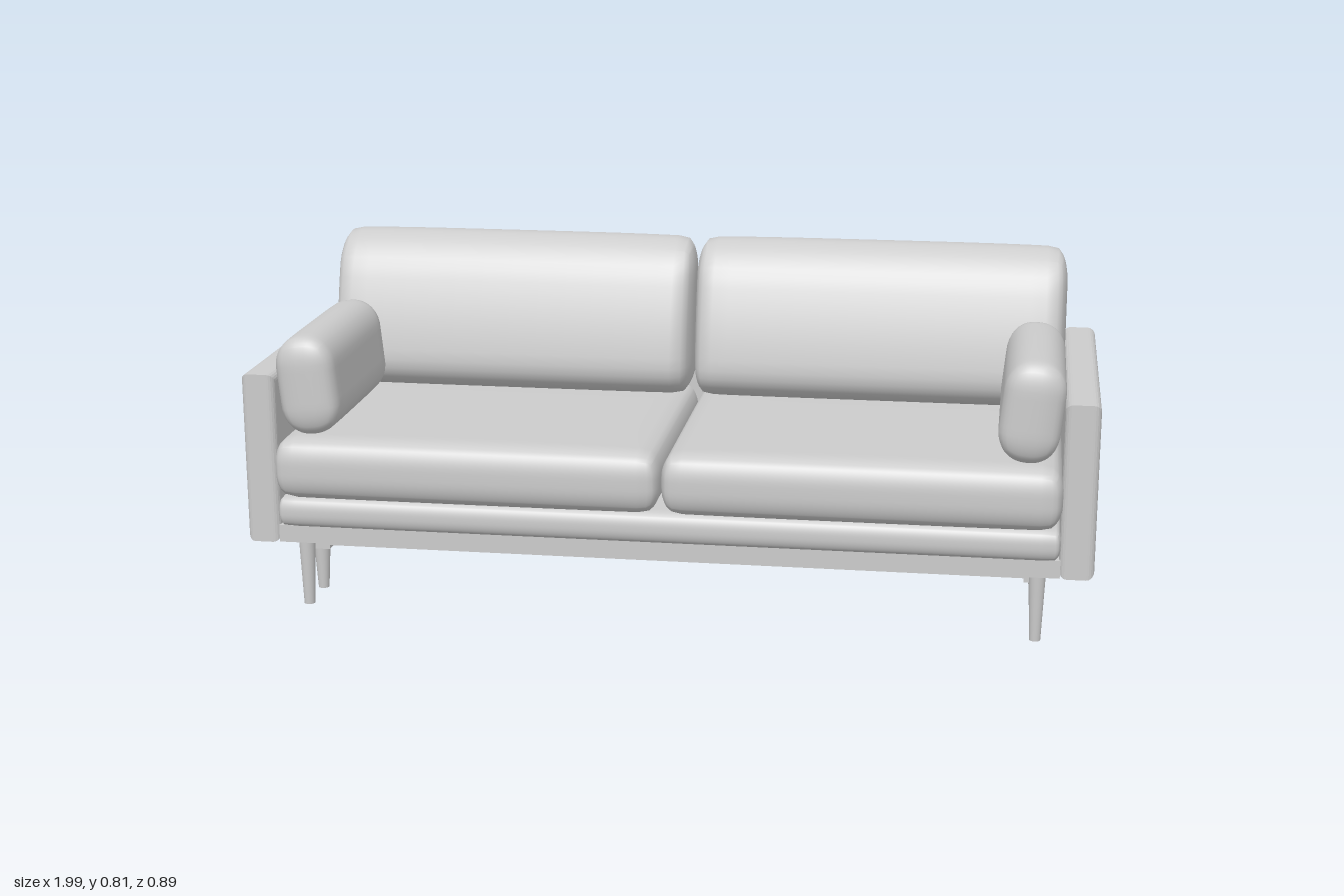
import * as THREE from 'three';
import { mergeVertices } from 'three/addons/utils/BufferGeometryUtils.js';

const material = new THREE.MeshStandardMaterial({ color: 0xcccccc });

// Soft box filling [min, max], with its own rounding radius per axis and slightly
// sagging edges. An optional warp moves each point: warp(point, min, max).
function softBox(name, min, max, radii, sag = 0, warp = null, segments = 20) {
  const lo = new THREE.Vector3(...min), hi = new THREE.Vector3(...max);
  const centre = lo.clone().add(hi).multiplyScalar(0.5);
  const half = hi.clone().sub(lo).multiplyScalar(0.5);
  const r = new THREE.Vector3(...radii);
  let geometry = new THREE.BoxGeometry(2, 2, 2, segments, segments, segments);
  geometry.deleteAttribute('uv');
  geometry.deleteAttribute('normal');
  geometry = mergeVertices(geometry);
  const pos = geometry.attributes.position;
  const p = new THREE.Vector3(), core = new THREE.Vector3(), inner = half.clone().sub(r);
  for (let i = 0; i < pos.count; i++) {
    p.fromBufferAttribute(pos, i);
    // crowd the grid towards the edges, where the rounding happens
    for (const a of ['x', 'y', 'z']) p[a] = Math.sin(p[a] * Math.PI / 2) * half[a];
    core.copy(p).clamp(inner.clone().negate(), inner);
    p.sub(core).divide(r).normalize().multiply(r).add(core);
    const u = p.x / half.x, v = p.z / half.z;
    p.y *= 1 - sag * (1 - (1 - u ** 4) * (1 - v ** 4));
    p.add(centre);
    if (warp) warp(p, lo, hi);
    pos.setXYZ(i, p.x, p.y, p.z);
  }
  geometry.computeVertexNormals();
  const mesh = new THREE.Mesh(geometry, material);
  mesh.name = name;
  return mesh;
}

function box(name, min, max) {
  const size = max.map((m, i) => m - min[i]);
  const mesh = new THREE.Mesh(new THREE.BoxGeometry(...size), material);
  mesh.position.set(...max.map((m, i) => (m + min[i]) / 2));
  mesh.name = name;
  return mesh;
}

// Arm panel: a side profile with a slanted rear edge, bevelled across its thickness
function armPanel(side) {
  const bevel = 0.018, width = 0.08;
  const shape = new THREE.Shape([[-0.41, 0.17], [0.32, 0.17], [0.36, 0.58], [-0.41, 0.58]]
    .map(([x, y]) => new THREE.Vector2(x, y)));
  const geometry = new THREE.ExtrudeGeometry(shape, {
    depth: width - 2 * bevel, bevelThickness: bevel, bevelSize: bevel,
    bevelOffset: -bevel, bevelSegments: 5,
  });
  geometry.translate(0, 0, bevel - width / 2);
  geometry.rotateY(Math.PI / 2); // profile x becomes -z
  const mesh = new THREE.Mesh(geometry, material);
  mesh.position.x = side * 0.955;
  mesh.name = side > 0 ? 'leftArm' : 'rightArm';
  return mesh;
}

function leg(name, x, z, top) {
  const mesh = new THREE.Mesh(new THREE.CylinderGeometry(0.02, 0.013, top, 20), material);
  mesh.position.set(x, top / 2, z);
  mesh.name = name;
  return mesh;
}

// Back cushions thin out towards the top, so the front leans back
function leanBack(p, lo, hi) {
  const t = (p.y - lo.y) / (hi.y - lo.y);
  p.z = lo.z + (p.z - lo.z) * (1 - 0.45 * t * t);
}

export function createModel() {
  const sofa = new THREE.Group();
  sofa.name = 'sofa';

  // Frame, upholstered base and backrest
  sofa.add(
    box('underframe', [-0.885, 0.12, -0.26], [0.885, 0.175, 0.27]),
    box('baseRail', [-0.918, 0.17, -0.3], [0.918, 0.212, 0.405]),
    softBox('seatBase', [-0.918, 0.208, -0.3], [0.918, 0.285, 0.42], [0.02, 0.035, 0.025]),
    softBox('backrest', [-0.915, 0.09, -0.45], [0.915, 0.692, -0.262], [0.03, 0.03, 0.035], 0.01),
  );

  for (const side of [-1, 1]) {
    const word = side > 0 ? 'left' : 'right';
    const span = (a, b) => (side > 0 ? [a, b] : [-b, -a]);

    sofa.add(armPanel(side));

    // Seat and back cushions
    const [x0, x1] = span(0.002, 0.918);
    sofa.add(softBox(word + 'SeatCushion', [x0, 0.28, -0.27], [x1, 0.435, 0.445],
      [0.04, 0.065, 0.04], 0.06));
    sofa.add(softBox(word + 'BackCushion', [x0, 0.425, -0.295], [x1, 0.815, -0.05],
      [0.035, 0.085, 0.11], 0.02, leanBack));

    // Bolster resting against the arm, tipped outwards
    const bolster = softBox(word + 'Bolster', [-0.07, -0.12, -0.235], [0.07, 0.12, 0.235],
      [0.065, 0.07, 0.035], 0.03);
    bolster.position.set(side * 0.842, 0.55, 0.175);
    bolster.rotation.z = -side * 0.1;
    sofa.add(bolster);

    // Legs, with corner blocks on the underframe
    const x = side * 0.868;
    sofa.add(leg(word + 'FrontLeg', x, 0.352, 0.175));
    for (const [part, z] of [['Middle', 0.235], ['Rear', -0.24]]) {
      const zMid = part === 'Rear' ? -0.235 : 0.24;
      const [b0, b1] = span(0.838, 0.888);
      sofa.add(box(word + part + 'Block', [b0, 0.11, zMid - 0.029], [b1, 0.172, zMid + 0.031]));
      sofa.add(leg(word + part + 'Leg', x, z, 0.115));
    }
  }
  return sofa;
}
